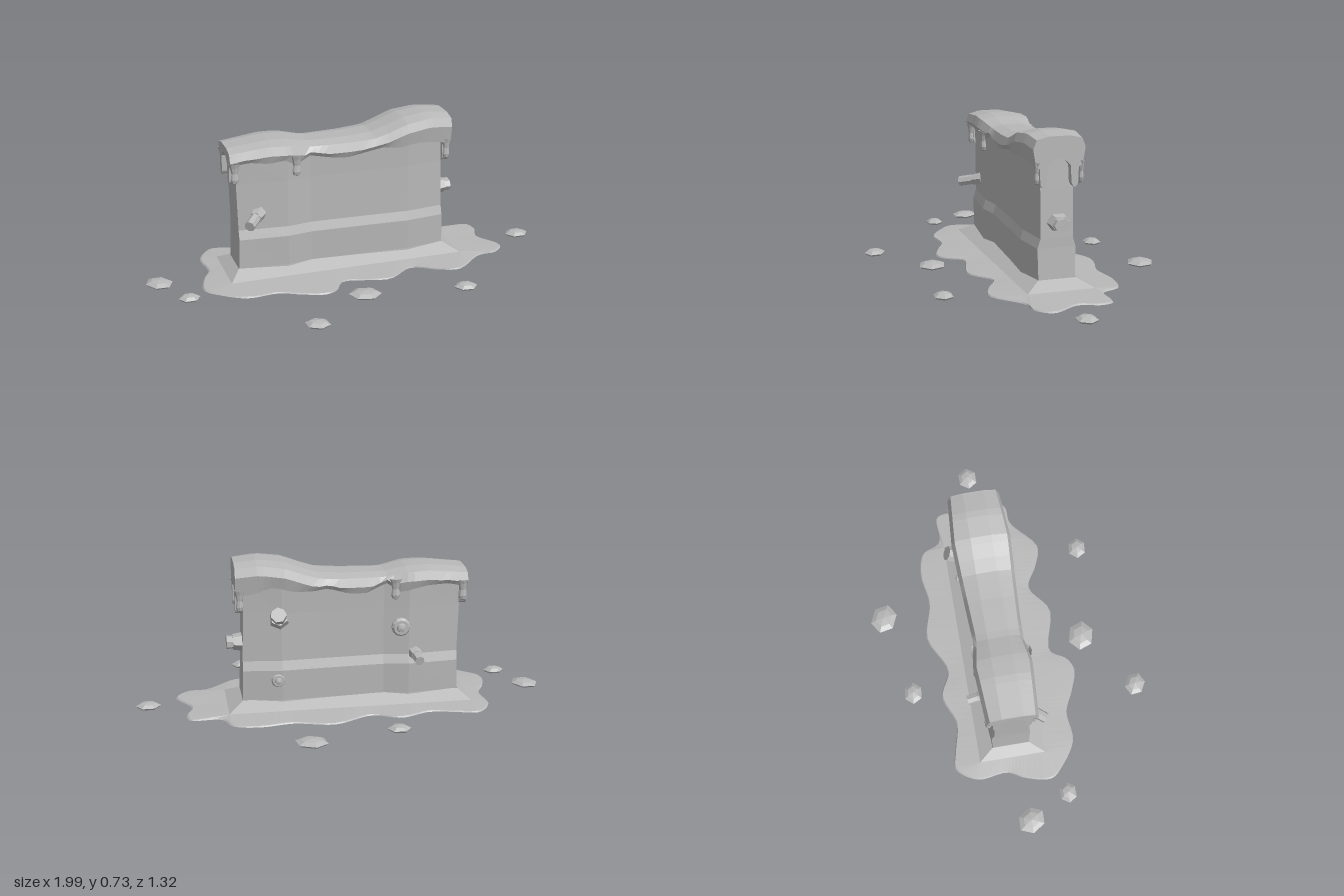
import * as THREE from 'three';

const ZC = -0.072; // depth centre line of the wall

// Flat facets
function flat(geo) {
  const g = geo.index ? geo.toNonIndexed() : geo;
  g.computeVertexNormals();
  return g;
}

// Skin a list of closed rings of [x, y, z] points
function loft(rings, flip = false) {
  const n = rings[0].length, idx = [];
  for (let r = 0; r < rings.length - 1; r++) {
    for (let i = 0; i < n; i++) {
      const a = r * n + i, b = r * n + (i + 1) % n, c = a + n, d = b + n;
      if (flip) idx.push(a, c, b, b, c, d);
      else idx.push(a, b, c, b, d, c);
    }
  }
  const g = new THREE.BufferGeometry();
  g.setAttribute('position', new THREE.Float32BufferAttribute(rings.flat(2), 3));
  g.setIndex(idx);
  return flat(g);
}

// Linear interpolation in a short table of [x, value]
function lerpTable(table, x) {
  if (x <= table[0][0]) return table[0][1];
  for (let i = 1; i < table.length; i++) {
    const [x0, v0] = table[i - 1], [x1, v1] = table[i];
    if (x <= x1) return v0 + (v1 - v0) * (x - x0) / (x1 - x0);
  }
  return table[table.length - 1][1];
}

export function createModel() {
  const model = new THREE.Group();
  const stone = new THREE.MeshStandardMaterial({ color: 0xb8b8b8, side: THREE.DoubleSide });
  stone.name = 'stone grey';
  const add = (name, geo, parent = model) => {
    const m = new THREE.Mesh(geo, stone);
    m.name = name;
    parent.add(m);
    return m;
  };

  // Wall: uneven plan, thicker below a sloping ledge, open underneath
  const plan = [[-0.55, 0.08], [-0.31, 0.1], [-0.19, 0.082], [0.12, 0.092], [0.3, 0.1], [0.485, 0.078]];
  const levels = [[0.03, 0.01, 0.012], [0.05, 0.005, 0.01], [0.2, 0, 0.014], [0.245, 0, 0], [0.48, 0.006, 0], [0.64, 0.012, 0.004]];
  add('wall', loft(levels.map(([y, spread, thick]) => {
    const side = (s) => plan.map(([x, h], i) => {
      const dx = i === 0 ? -spread : i === plan.length - 1 ? (y < 0.2 ? spread : -spread) : 0;
      return [x + dx, y, ZC + s * (h + thick)];
    });
    return [...side(1), ...side(-1).reverse()];
  })));

  // Puddle: wavy outline rising to a skirt around the wall foot
  const outline = [
    [-0.69, -0.26], [-0.62, -0.36], [-0.54, -0.35], [-0.39, -0.32], [-0.24, -0.37], [-0.11, -0.32], [0.08, -0.4],
    [0.27, -0.36], [0.43, -0.38], [0.55, -0.35], [0.6, -0.26], [0.74, -0.25], [0.76, -0.19], [0.73, -0.09],
    [0.8, 0.05], [0.74, 0.12], [0.65, 0.13], [0.49, 0.25], [0.38, 0.22], [0.27, 0.165], [0.13, 0.25], [-0.09, 0.21],
    [-0.15, 0.29], [-0.21, 0.315], [-0.32, 0.28], [-0.42, 0.235], [-0.57, 0.24], [-0.69, 0.165], [-0.745, 0.1],
    [-0.72, -0.03], [-0.68, -0.11],
  ].map(([x, z]) => new THREE.Vector3(x, 0, z));
  const rim = new THREE.CatmullRomCurve3(outline, true).getPoints(150).slice(0, -1);
  const clampRing = (x0, x1, z0, z1, y) => rim.map((p) => [
    THREE.MathUtils.clamp(p.x, x0, x1), y, THREE.MathUtils.clamp(p.z, z0, z1)]);
  add('puddle', loft([
    rim.map((p) => [p.x, 0, p.z]),
    rim.map((p) => [p.x * 0.99, 0.006, p.z * 0.985]),
    clampRing(-0.61, 0.56, -0.235, 0.09, 0.014),
    clampRing(-0.557, 0.49, -0.165, 0.018, 0.052),
  ], true));

  // Sagging cap with a wavy lower edge
  const topY = [[-0.59, 0.655], [-0.4, 0.676], [-0.3, 0.672], [-0.19, 0.65], [0, 0.652], [0.12, 0.66], [0.19, 0.682], [0.28, 0.716], [0.4, 0.733], [0.515, 0.722]];
  const halfZ = [[-0.59, 0.105], [-0.32, 0.122], [-0.19, 0.1], [0.28, 0.125], [0.515, 0.108]];
  const lowFront = [[-0.59, 0.58], [-0.5, 0.595], [-0.4, 0.58], [-0.33, 0.592], [-0.27, 0.56], [-0.2, 0.595], [-0.1, 0.575], [-0.02, 0.565], [0.08, 0.585], [0.16, 0.6], [0.24, 0.59], [0.34, 0.605], [0.44, 0.595], [0.515, 0.58]];
  const lowBack = lowFront.map(([x, y], i) => [x, y + (i % 3 - 1) * 0.012]);
  const capRings = [];
  for (let i = 0; i <= 34; i++) {
    const x = -0.585 + 1.095 * i / 34;
    const t = lerpTable(topY, x), h = lerpTable(halfZ, x);
    const f = lerpTable(lowFront, x), b = lerpTable(lowBack, x);
    capRings.push([
      [-0.075, 0.625], [-h - 0.003, b], [-h - 0.016, Math.max(t - 0.055, b + 0.02)], [-h, t - 0.014], [-0.05, t],
      [0.05, t], [h, t - 0.014], [h + 0.016, Math.max(t - 0.055, f + 0.02)], [h + 0.003, f], [0.075, 0.625],
    ].map(([z, y]) => [x, y, ZC + z]));
  }
  add('cap', loft(capRings, true));

  // Cap end plates: an arch between two hanging drips
  function capEnd(name, x, top, h) {
    const s = new THREE.Shape();
    s.moveTo(-0.05, top);
    s.lineTo(0.05, top);
    s.lineTo(h, top - 0.014);
    s.lineTo(h + 0.016, top - 0.055);
    s.lineTo(h + 0.003, 0.59);
    s.lineTo(0.092, 0.575);
    s.lineTo(0.09, 0.505);
    s.quadraticCurveTo(0.074, 0.465, 0.058, 0.505);
    s.lineTo(0.054, 0.585);
    s.quadraticCurveTo(0, 0.655, -0.054, 0.585);
    s.lineTo(-0.058, 0.505);
    s.quadraticCurveTo(-0.074, 0.465, -0.09, 0.505);
    s.lineTo(-0.092, 0.575);
    s.lineTo(-h - 0.003, 0.59);
    s.lineTo(-h - 0.016, top - 0.055);
    s.lineTo(-h, top - 0.014);
    s.closePath();
    const g = new THREE.ExtrudeGeometry(s, { depth: 0.036, bevelEnabled: false, curveSegments: 6 });
    g.rotateY(-Math.PI / 2);
    const m = add(name, flat(g));
    m.position.set(x, 0, ZC);
  }
  capEnd('leftCapEnd', 0.515, 0.722, 0.108);
  capEnd('rightCapEnd', -0.553, 0.655, 0.105);

  // Hanging drips along the long sides
  [[-0.27, 0.05, 0.505, 0.022], [-0.565, 0.03, 0.49, 0.02], [0.495, 0.03, 0.5, 0.018],
    [-0.24, -0.186, 0.525, 0.022], [-0.565, -0.182, 0.505, 0.02], [0.495, -0.182, 0.5, 0.018]].forEach(([x, z, low, r]) => {
    const profile = [[0, 0], [0.7, 0.008], [1, 0.025], [0.75, 0.055], [1.1, 0.085], [1.5, 0.105]]
      .map(([k, y]) => new THREE.Vector2(k * r, y));
    const m = add('drip', flat(new THREE.LatheGeometry(profile, 8)));
    m.scale.z = 0.7;
    m.position.set(x, low, z);
  });

  // Pegs: a hexagonal collar with a narrower shaft
  function peg(name, at, dir, r, collar, length, wide = 1) {
    const g = new THREE.Group();
    g.name = name;
    const c = add('collar', flat(new THREE.CylinderGeometry(r * 1.15, r * 1.4, collar, 6)), g);
    c.position.y = collar / 2;
    const s = add('shaft', flat(new THREE.CylinderGeometry(r, r, length, 7)), g);
    s.position.y = length / 2;
    g.position.set(...at);
    g.quaternion.setFromUnitVectors(new THREE.Vector3(0, 1, 0), new THREE.Vector3(...dir).normalize());
    g.scale.z = wide;
    model.add(g);
  }
  peg('frontPeg', [-0.445, 0.325, 0.005], [-0.6, -0.2, 0.8], 0.026, 0.05, 0.125);
  peg('endPeg', [0.475, 0.32, -0.078], [1, 0, 0], 0.031, 0.05, 0.08, 1.35);
  peg('upperBackPeg', [0.31, 0.45, -0.16], [0.12, 0.5, -0.85], 0.036, 0.035, 0.09);
  peg('lowerBackPeg', [-0.34, 0.25, -0.165], [-0.1, -0.18, -0.9], 0.024, 0.035, 0.085);

  // Round studs on the back
  [[-0.27, 0.385, 0.045], [0.32, 0.15, 0.034]].forEach(([x, y, r]) => {
    const profile = [[1, 0], [1, 0.012], [0.8, 0.022], [0.5, 0.022], [0.42, 0.034], [0, 0.038]]
      .map(([k, d]) => new THREE.Vector2(k * r, d));
    const m = add('roundStud', flat(new THREE.LatheGeometry(profile, 12)));
    m.rotation.x = -Math.PI / 2;
    m.position.set(x, y, -0.168);
  });

  // Scattered pebbles: low six-sided domes
  [[0.22, -0.6, 0.078, 0.4], [-0.2, -0.51, 0.056, 0.1], [0.935, -0.05, 0.06, 0], [-0.935, -0.035, 0.072, 1],
    [-0.83, 0.165, 0.052, 0], [-0.04, 0.38, 0.078, 0.25], [0.44, 0.45, 0.056, 0.1], [-0.34, 0.6, 0.06, 0.5]].forEach(([x, z, r, turn]) => {
    const profile = [[0, 0], [0.85, 0], [1, 0.009], [0.62, 0.021], [0, 0.027]]
      .map(([k, y]) => new THREE.Vector2(k * r, y));
    const m = add('pebble', flat(new THREE.LatheGeometry(profile, 6, Math.PI / 2)));
    m.scale.z = 0.85;
    m.rotation.y = -turn;
    m.position.set(x, 0, z);
  });

  return model;
}
